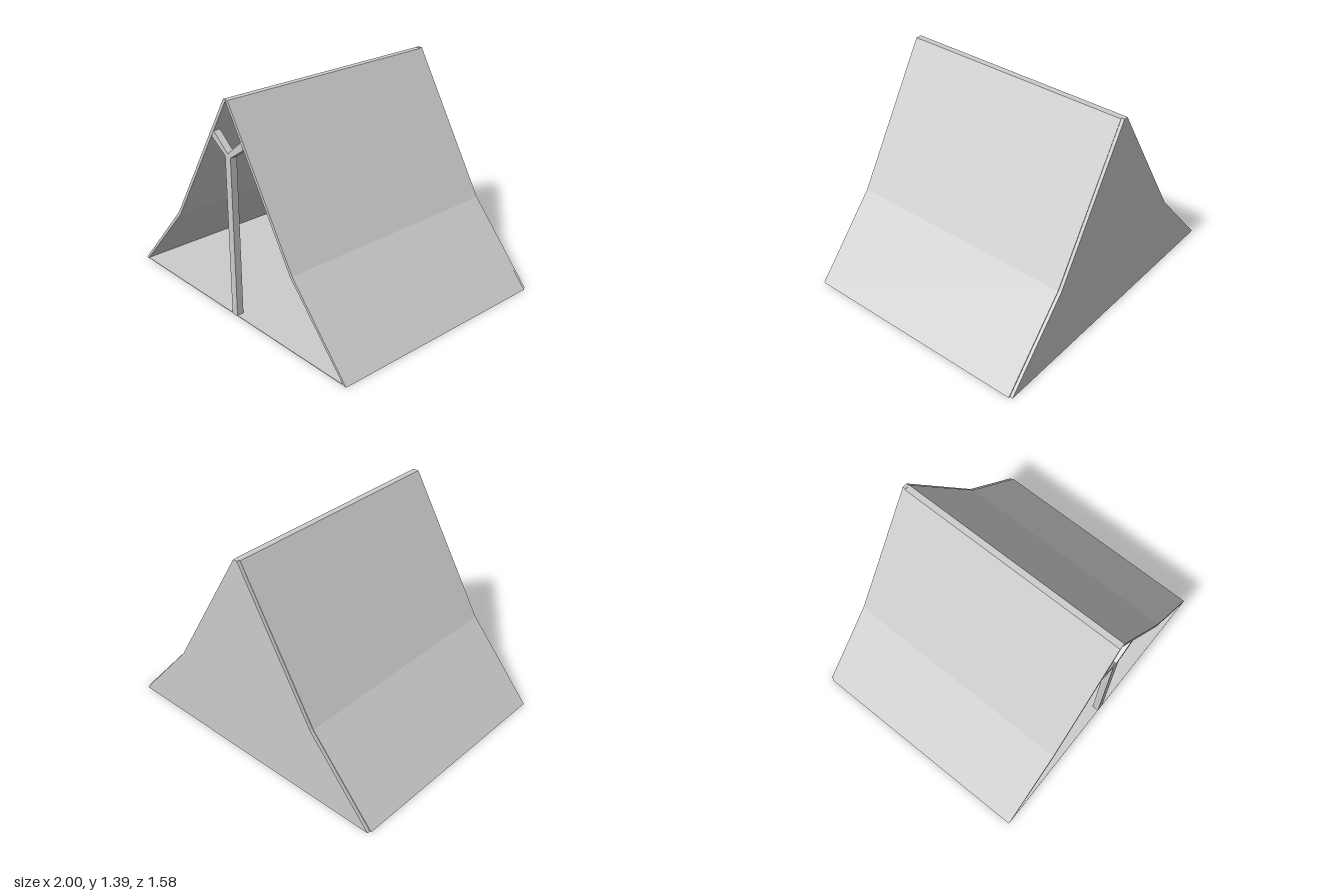
import * as THREE from 'three';

const FRONT = 0.79, BACK = -0.79, WALL = 0.02, POLE_DEPTH = 0.045;

export function createModel() {
  const tent = new THREE.Group();
  tent.name = 'tent';
  const material = new THREE.MeshStandardMaterial({ color: 0xcccccc, flatShading: true });

  // Extrudes an outline in x/y from z0 to z1
  function slab(name, points, z0, z1) {
    const shape = new THREE.Shape(points.map(([x, y]) => new THREE.Vector2(x, y)));
    const geometry = new THREE.ExtrudeGeometry(shape, { depth: z1 - z0, bevelEnabled: false });
    geometry.translate(0, 0, z0);
    const mesh = new THREE.Mesh(geometry, material);
    mesh.name = name;
    tent.add(mesh);
  }
  const mirror = (points) => points.map(([x, y]) => [-x, y]).reverse();

  // Roof sheets, bent where the steep slope meets the flared skirt
  const sheet = [[0.98, 0], [1, 0], [0.557, 0.5], [0.02, 1.39], [0, 1.39], [0, 1.383], [0.54, 0.488]];
  slab('leftRoof', sheet, BACK + WALL, FRONT);
  slab('rightRoof', mirror(sheet), BACK + WALL, FRONT);

  // Closed back wall
  const wallHalf = [[0.99, 0], [0.55, 0.5], [0.015, 1.393]];
  slab('backWall', [...wallHalf, ...mirror(wallHalf)], BACK, BACK + WALL);

  // Ground sheet
  const floor = new THREE.Mesh(new THREE.BoxGeometry(1.97, 0.004, FRONT - BACK - WALL), material);
  floor.position.set(0, 0.004, WALL / 2);
  floor.name = 'floor';
  tent.add(floor);

  // Forked poles holding up the roof at both ends
  const poleHalf = [[0.025, 0], [0.025, 1.045], [0.15, 1.13], [0.127, 1.17]];
  const pole = [...poleHalf, [0, 1.065], ...mirror(poleHalf)];
  slab('frontPole', pole, FRONT - POLE_DEPTH, FRONT);
  slab('backPole', pole, BACK + WALL, BACK + WALL + POLE_DEPTH);

  return tent;
}
